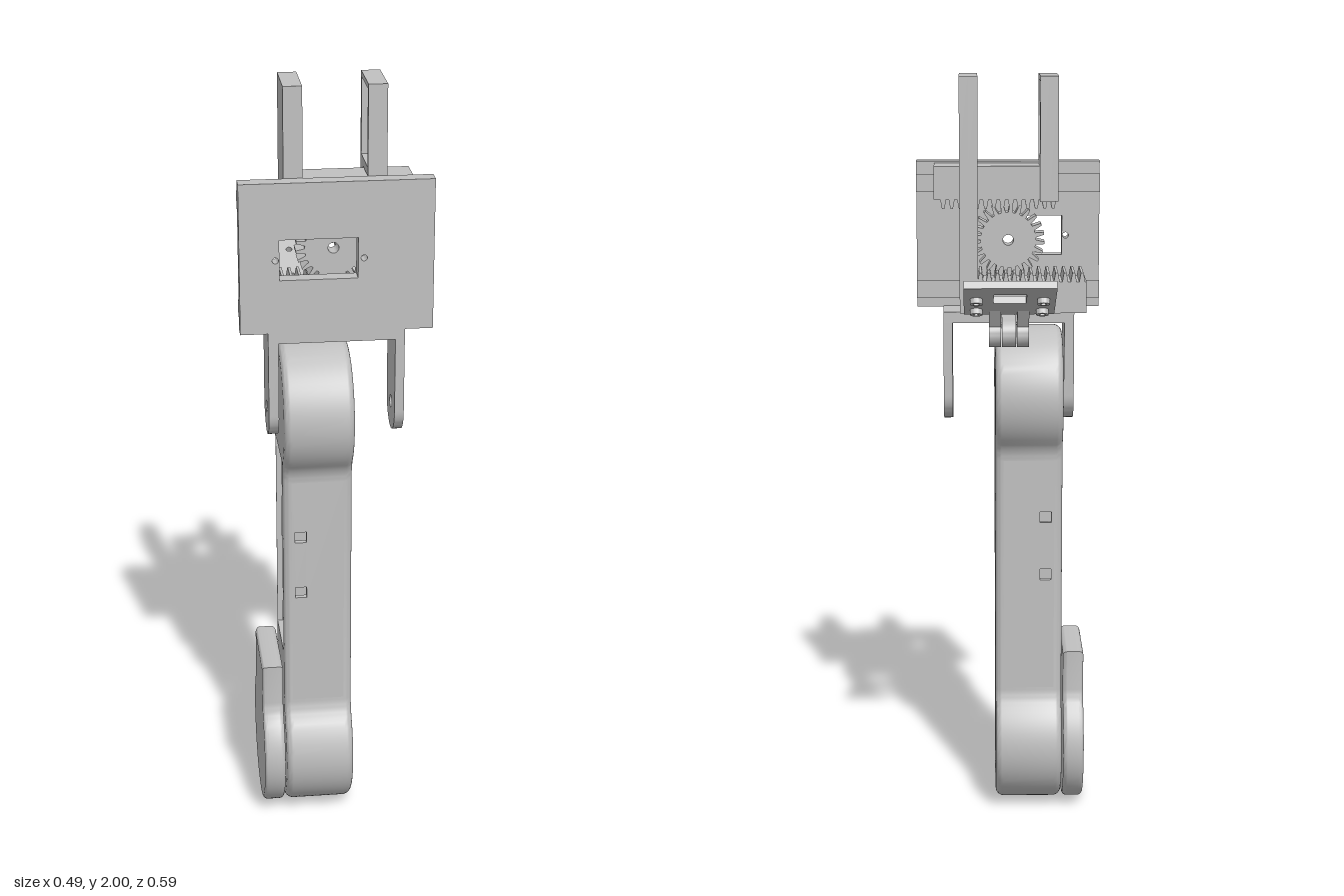
import * as THREE from 'three';
import { toCreasedNormals } from 'three/addons/utils/BufferGeometryUtils.js';

const grey = new THREE.MeshStandardMaterial({ color: 0xc0c0c0, side: THREE.DoubleSide });
grey.name = 'grey plastic';

// point-list helpers
const rect = (a0, b0, a1, b1) => [[a0, b0], [a1, b0], [a1, b1], [a0, b1]];
const arc = (a, b, r, t0, t1, n) => Array.from({ length: n + 1 }, (_, i) => {
  const t = t0 + (t1 - t0) * i / n;
  return [a + r * Math.cos(t), b + r * Math.sin(t)];
});
const circle = (a, b, r, n = 32) => arc(a, b, r, 0, Math.PI * 2, n).slice(0, n);

function extrude(pts, holes, depth, flip = 1) {
  const v = list => list.map(p => new THREE.Vector2(flip * p[0], p[1]));
  const shape = new THREE.Shape(v(pts));
  shape.holes = holes.map(h => new THREE.Path(v(h)));
  return new THREE.ExtrudeGeometry(shape, { depth, bevelEnabled: false });
}
// outline in (x, y), from z0 to z1
const extrudeZ = (pts, z0, z1, holes = []) => extrude(pts, holes, z1 - z0).translate(0, 0, z0);
// outline in (z, y), from x0 to x1
const extrudeX = (pts, x0, x1, holes = []) =>
  extrude(pts, holes, x1 - x0, -1).rotateY(Math.PI / 2).translate(x0, 0, 0);
const box = (x0, x1, y0, y1, z0, z1) => new THREE.BoxGeometry(x1 - x0, y1 - y0, z1 - z0)
  .translate((x0 + x1) / 2, (y0 + y1) / 2, (z0 + z1) / 2);

function add(group, name, geo) {
  const mesh = new THREE.Mesh(toCreasedNormals(geo, 0.6), grey);
  mesh.name = name;
  group.add(mesh);
  return mesh;
}
function part(parent, name) {
  const g = new THREE.Group();
  g.name = name;
  parent.add(g);
  return g;
}

// dog-bone arm outline, inset by d
const ZC = 0.116, R = 0.179, HALF = 0.116, Y0 = 0.179, Y1 = 1.155, FIL = 0.08;
const FU = HALF + FIL, FV = Math.sqrt((R + FIL) ** 2 - FU ** 2), A0 = Math.atan2(FV, FU);
const lowerHalf = d => [
  ...arc(0, Y0, R - d, -Math.PI / 2, A0, 28),
  ...arc(FU, Y0 + FV, FIL + d, Math.PI + A0, Math.PI, 8).slice(1)];
const closeSide = side => [...side, ...side.slice(1).reverse()
  .filter(p => Math.abs(p[0]) > 1e-6).map(([u, y]) => [-u, y])].map(([u, y]) => [u + ZC, y]);
const armOutline = d => {
  const low = lowerHalf(d);
  return closeSide([...low, ...low.slice().reverse().map(([u, y]) => [u, Y0 + Y1 - y])]);
};
const coverOutline = d => closeSide([...lowerHalf(d), [HALF - d, 0.45 - d]]);

// side skin with rounded rims; skip(p, q) leaves gaps in the flat middle band
function skin(outline, x0, x1, r, skip = () => false) {
  const n = 6, prof = [];
  for (let k = 0; k <= n; k++) {
    const t = k / n * Math.PI / 2;
    prof.push([r * (1 - Math.sin(t)), x0 + r * (1 - Math.cos(t))]);
  }
  prof.push(...prof.slice().reverse().map(([d, x]) => [d, x0 + x1 - x]));
  const rings = prof.map(([d]) => outline(d)), m = rings[0].length, pos = [], idx = [];
  rings.forEach((ring, j) => ring.forEach(([z, y]) => pos.push(prof[j][1], y, z)));
  for (let j = 0; j + 1 < rings.length; j++) for (let i = 0; i < m; i++) {
    const i2 = (i + 1) % m;
    if (j === n && skip(rings[j][i], rings[j][i2])) continue;
    const a = j * m + i, b = a + m, c = (j + 1) * m + i2, d = j * m + i2;
    idx.push(a, b, c, a, c, d);
  }
  const g = new THREE.BufferGeometry();
  g.setAttribute('position', new THREE.Float32BufferAttribute(pos, 3));
  g.setIndex(idx);
  g.computeVertexNormals();
  return g;
}

function buildArm(root) {
  const arm = part(root, 'arm'), r = 0.022, x0 = -0.145, x1 = 0.035;
  add(arm, 'armSkin', skin(armOutline, x0, x1, r, (p, q) => Math.abs(p[1] - q[1]) > 0.3));
  // straight walls with square cable holes
  const ya = Y0 + FV, yb = Y1 - FV;
  const squares = [0.67, 0.83].map(y => rect(-0.115, y - 0.015, -0.085, y + 0.015));
  for (const z of [ZC - HALF, ZC + HALF - 0.015])
    add(arm, 'armWall', extrudeZ(rect(x0 + r, ya, x1 - r, yb), z, z + 0.015, squares));
  // outer face with servo pockets, lightening holes and screw holes
  const pocket = [[0.035, 0.1], [0.085, 0.1], [0.085, 0.035], [0.147, 0.035], [0.147, 0.1],
    [0.2, 0.1], [0.2, 0.43], [0.035, 0.43]];
  const holes = [pocket, rect(0.063, 1.02, 0.168, 1.21),
    ...[0.59, 0.735, 0.88].map(y => circle(ZC, y, 0.058)),
    ...[[0.155, 0.46], [0.078, 0.46], [0.16, 0.07], [0.073, 0.07], [ZC, 1], [ZC, 1.235]]
      .map(([z, y]) => circle(z, y, 0.009, 16))];
  add(arm, 'armOuterFace', extrudeX(armOutline(r), x1 - 0.02, x1, holes));
  // inner face with the long service window
  add(arm, 'armInnerFace', extrudeX(armOutline(r), x0, x0 + 0.015, [rect(0.025, 0.48, 0.207, 1.035)]));
  add(arm, 'bulkhead', box(x0 + 0.01, x1 - 0.02, 0.465, 0.48, 0.01, 0.222));
  // end cover
  const cover = part(root, 'endCover');
  add(cover, 'coverSkin', skin(coverOutline, -0.205, -0.149, 0.012));
  add(cover, 'coverFaces', extrudeX(coverOutline(0.012), -0.205, -0.149));
}

function buildBracket(root) {
  const g = part(root, 'wristBracket');
  add(g, 'bracketTop', box(-0.175, 0.172, 1.352, 1.382, 0.043, 0.187));
  const ear = [[0.187, 1.36], ...arc(0.115, Y1, 0.072, 0, -Math.PI, 24), [0.043, 1.36]];
  for (const [a, b] of [[-0.175, -0.149], [0.148, 0.172]])
    add(g, 'bracketEar', extrudeX(ear, a, b, [circle(0.115, Y1, 0.017, 20)]));
  // hinge tongue
  add(g, 'hingeTongue', extrudeX([[0.05, 1.38], [-0.05, 1.375], [-0.02, 1.345], [0.05, 1.352]], -0.018, 0.018));
  add(g, 'hingeKnuckle', extrudeX(circle(-0.05, 1.34, 0.035), -0.018, 0.018, [circle(-0.05, 1.34, 0.016, 20)]));
}

function buildSensorMount(root) {
  const g = part(root, 'sensorMount');
  const spots = [-0.085, 0.085].flatMap(x => [0.046, 0.146].map(s => [x, s]));
  const holes = spots.map(([x, s]) => circle(x, s, 0.008, 16));
  const tilted = part(g, 'tiltedPlate');
  add(tilted, 'sensorPlate', extrudeZ(rect(-0.117, 0, 0.117, 0.244), 0, 0.02,
    [rect(-0.042, 0.105, 0.041, 0.187), ...holes]));
  spots.forEach(([x, s], i) =>
    add(tilted, 'standoff', extrudeZ(circle(x, s, 0.016, 20), -0.014, 0, [holes[i]])));
  tilted.rotation.x = -1.143;
  tilted.position.set(0, 1.395, -0.075);
  for (const x of [-0.052, 0.021]) {
    add(g, 'mountLug', extrudeX(circle(-0.05, 1.34, 0.035), x, x + 0.031, [circle(-0.05, 1.34, 0.016, 20)]));
    add(g, 'mountNeck', extrudeX([[-0.024, 1.362], [-0.07, 1.405], [-0.11, 1.415], [-0.077, 1.362]], x, x + 0.031));
  }
}

const GY = 1.572, TEETH = 24, PITCH = 0.0222;
// rack outline: straight edge at yBack, teeth from root to tip
function rackOutline(x0, x1, yBack, root, tip) {
  const pts = [[x0, yBack], [x0, root]];
  for (let x = x0 + 0.004; x + PITCH * 0.75 < x1; x += PITCH)
    pts.push([x, root], [x + PITCH * 0.2, tip], [x + PITCH * 0.5, tip], [x + PITCH * 0.7, root]);
  pts.push([x1, root], [x1, yBack]);
  return pts;
}

function buildFinger(g, name, x0, x1, y0, inner) {
  const t = inner > 0 ? [x1 - 0.025, x1] : [x0, x0 + 0.025];
  const b = inner > 0 ? [x0, t[0]] : [t[1], x1];
  add(g, name + 'Frame', extrudeX(rect(0, y0, 0.147, 2), t[0], t[1], [rect(0.014, 1.79, 0.133, 1.986)]));
  add(g, name + 'Back', box(b[0], b[1], y0, 2, 0, 0.147));
}

function buildGripper(root) {
  const g = part(root, 'gripper');
  // front plate with window
  add(g, 'frontPlate', extrudeZ(rect(-0.245, 1.38, 0.243, 1.77), 0.147, 0.188,
    [rect(-0.145, 1.52, 0.052, 1.625), circle(-0.155, GY, 0.008, 16), circle(0.067, GY, 0.008, 16)]));
  // dovetail guide rails
  for (const y of [1.43, 1.714])
    add(g, 'guideRail', extrudeX([[0.147, y - 0.014], [0.147, y + 0.014], [0.127, y + 0.024], [0.127, y - 0.024]], -0.245, 0.243));
  // pinion
  const gear = [];
  for (let i = 0; i < TEETH; i++)
    for (const [f, r] of [[0, 0.073], [0.2, 0.096], [0.45, 0.096], [0.65, 0.073]]) {
      const a = (i + f) / TEETH * Math.PI * 2;
      gear.push([r * Math.cos(a), GY + r * Math.sin(a)]);
    }
  add(g, 'pinion', extrudeZ(gear, 0.05, 0.1, [circle(0, GY, 0.014, 20)]));
  // lower jaw: rack at the bottom, finger on the left
  const low = part(g, 'lowerRackJaw');
  add(low, 'lowerRack', extrudeZ(rackOutline(-0.205, 0.128, 1.385, 1.468, 1.492), 0, 0.127));
  add(low, 'lowerRackLip', box(-0.205, 0.128, 1.385, 1.402, 0.127, 0.147));
  add(low, 'leftFingerStem', box(0.08, 0.128, 1.385, 1.77, 0, 0.05));
  buildFinger(low, 'leftFinger', 0.08, 0.128, 1.768, -1);
  // upper jaw: rack at the top, finger on the right
  const up = part(g, 'upperRackJaw');
  add(up, 'upperRack', extrudeZ(rackOutline(-0.13, 0.195, 1.765, 1.678, 1.654), 0.053, 0.127));
  add(up, 'upperRackLip', box(-0.13, 0.195, 1.743, 1.765, 0.127, 0.147));
  buildFinger(up, 'rightFinger', -0.13, -0.082, 1.678, 1);
}

export function createModel() {
  const root = new THREE.Group();
  root.name = 'gripperArm';
  buildArm(root);
  buildBracket(root);
  buildSensorMount(root);
  buildGripper(root);
  return root;
}
